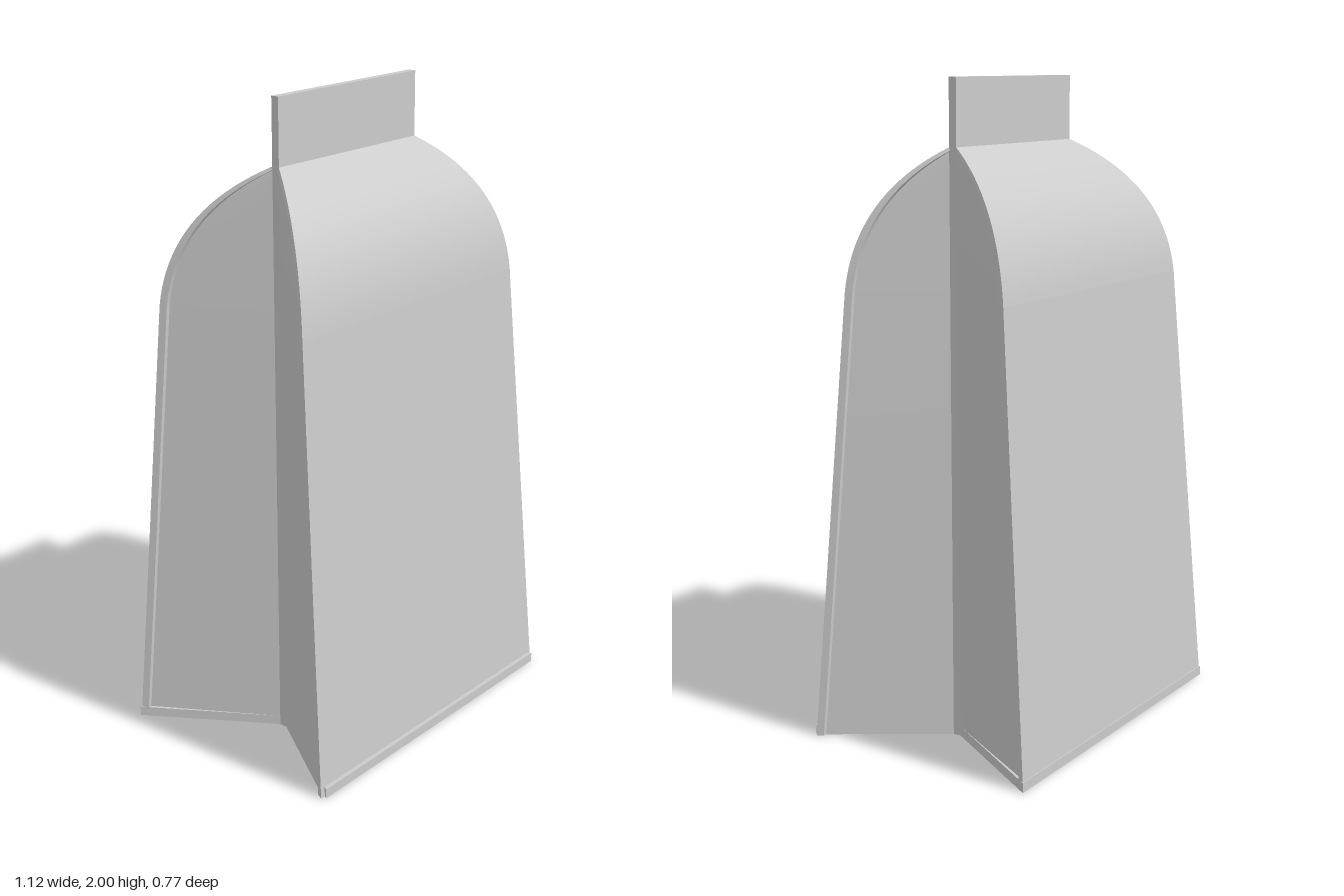
import * as THREE from 'three';
import { mergeGeometries } from 'three/addons/utils/BufferGeometryUtils.js';

const FOLD = 0.315; // half width at the pinched centre fold
const SEAL = 0.025; // thickness of the top seal, from z = 0 forwards
const material = new THREE.MeshStandardMaterial({ color: 0xcccccc, side: THREE.DoubleSide });

// Skins a stack of rings; sides are sharp against each other, smooth along the height
function loft(rings) {
  const n = rings[0].length;
  const parts = [];
  for (let i = 0; i < n; i++) {
    const pos = [], idx = [];
    rings.forEach((r, k) => {
      pos.push(...r[i], ...r[(i + 1) % n]);
      if (k) {
        const a = 2 * k - 2;
        idx.push(a, a + 1, a + 3, a, a + 3, a + 2);
      }
    });
    const g = new THREE.BufferGeometry();
    g.setAttribute('position', new THREE.Float32BufferAttribute(pos, 3));
    g.setIndex(idx);
    g.computeVertexNormals();
    parts.push(g);
  }
  return mergeGeometries(parts);
}

// Profile stations: y, half width, front depth, back depth
function stations() {
  const wall = [], dome = [];
  for (let i = 0; i <= 4; i++) {
    const t = i / 4;
    wall.push({ y: 1.38 * t, w: 0.555 - 0.053 * t, f: 0.374 - 0.104 * t, b: -0.384 + 0.1 * t });
  }
  const arc = new THREE.QuadraticBezierCurve(
    new THREE.Vector2(1, 1.38), new THREE.Vector2(0.9, 1.665), new THREE.Vector2(0, 1.8));
  for (const p of arc.getPoints(20)) {
    dome.push({ y: p.y, w: FOLD + 0.187 * p.x, f: SEAL + 0.245 * p.x, b: -0.284 * p.x });
  }
  return [wall, dome];
}

// Thin front or back panel
const panelRing = (s, front) => {
  const z = front ? s.f : s.b;
  const inner = front ? Math.max(z - 0.02, 0.01) : Math.min(z + 0.02, 0.01);
  const v = s.w - 0.01;
  const ring = [[-s.w, s.y, z], [s.w, s.y, z], [v, s.y, inner], [-v, s.y, inner]];
  return front ? ring : ring.reverse();
};

// Bow-tie core whose sides fold inwards to the centre
const coreRing = (s) => {
  const v = Math.max(s.w - 0.014, FOLD);
  const f = Math.max(s.f - 0.008, SEAL), b = Math.min(s.b + 0.008, 0);
  return [[-v, s.y, f], [v, s.y, f], [FOLD, s.y, SEAL], [FOLD, s.y, 0],
    [v, s.y, b], [-v, s.y, b], [-FOLD, s.y, 0], [-FOLD, s.y, SEAL]];
};

export function createModel() {
  const bag = new THREE.Group();
  bag.name = 'gussetedBag';
  const add = (name, geometry) => {
    const mesh = new THREE.Mesh(geometry, material);
    mesh.name = name;
    bag.add(mesh);
    return mesh;
  };

  // Straight walls and rounded shoulders
  stations().forEach((list, i) => {
    const part = i ? 'Shoulder' : 'Wall';
    add('front' + part, loft(list.map((s) => panelRing(s, true))));
    add('back' + part, loft(list.map((s) => panelRing(s, false))));
    add('sideGusset' + part, loft(list.map(coreRing)));
  });

  // Bow-tie bottom plate
  const outline = [[-0.545, 0.385], [0.545, 0.385], [FOLD, SEAL], [FOLD, 0],
    [0.558, -0.385], [-0.558, -0.385], [-FOLD, 0], [-FOLD, SEAL]];
  const shape = new THREE.Shape(outline.map(([x, z]) => new THREE.Vector2(x, -z)));
  const base = new THREE.ExtrudeGeometry(shape, { depth: 0.03, bevelEnabled: false });
  add('bottomPlate', base.rotateX(-Math.PI / 2));

  // Flat seal standing on top
  add('topSeal', new THREE.BoxGeometry(2 * FOLD, 0.21, SEAL)).position.set(0, 1.895, SEAL / 2);
  return bag;
}
